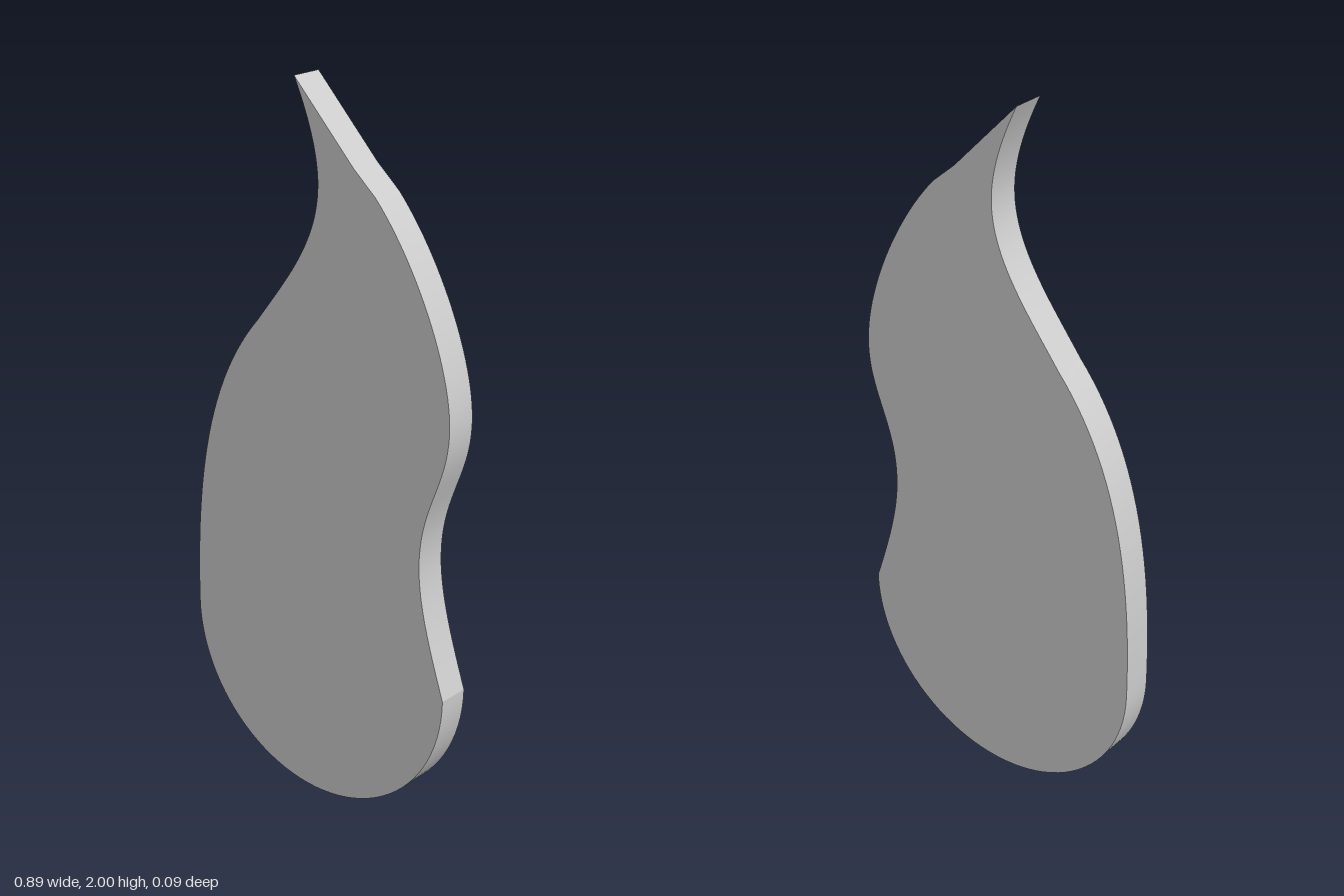
import * as THREE from 'three';
import { toCreasedNormals } from 'three/addons/utils/BufferGeometryUtils.js';

const DEPTH = 0.09;
const RADIUS = 0.444;

// Flame outline, anticlockwise from the bottom
function flameShape() {
  const s = new THREE.Shape();
  // round base
  s.absarc(0, RADIUS, RADIUS, -Math.PI, 0, false);
  // waist and belly of the right edge
  s.bezierCurveTo(0.39, 0.6, 0.357, 0.71, 0.357, 0.81);
  s.bezierCurveTo(0.357, 0.98, 0.444, 1.05, 0.444, 1.2);
  s.bezierCurveTo(0.444, 1.36, 0.33, 1.6, 0.2, 1.74);
  // pointed tip
  s.lineTo(0.13, 1.8);
  s.lineTo(-0.065, 2);
  // swept left edge
  s.bezierCurveTo(-0.02, 1.91, 0.013, 1.82, 0.013, 1.74);
  s.bezierCurveTo(0.013, 1.59, -0.1, 1.47, -0.2, 1.34);
  s.bezierCurveTo(-0.38, 1.14, -0.444, 0.85, -RADIUS, RADIUS);
  return s;
}

export function createModel() {
  const group = new THREE.Group();
  group.name = 'flamePlate';

  // Flat plate with smooth rim and sharp edges
  const geometry = new THREE.ExtrudeGeometry(flameShape(), {
    depth: DEPTH, bevelEnabled: false, curveSegments: 24,
  });
  geometry.translate(0, 0, -DEPTH / 2);

  const flame = new THREE.Mesh(
    toCreasedNormals(geometry, 0.25),
    new THREE.MeshStandardMaterial({ color: 0xcccccc }),
  );
  flame.name = 'flame';
  group.add(flame);
  return group;
}
